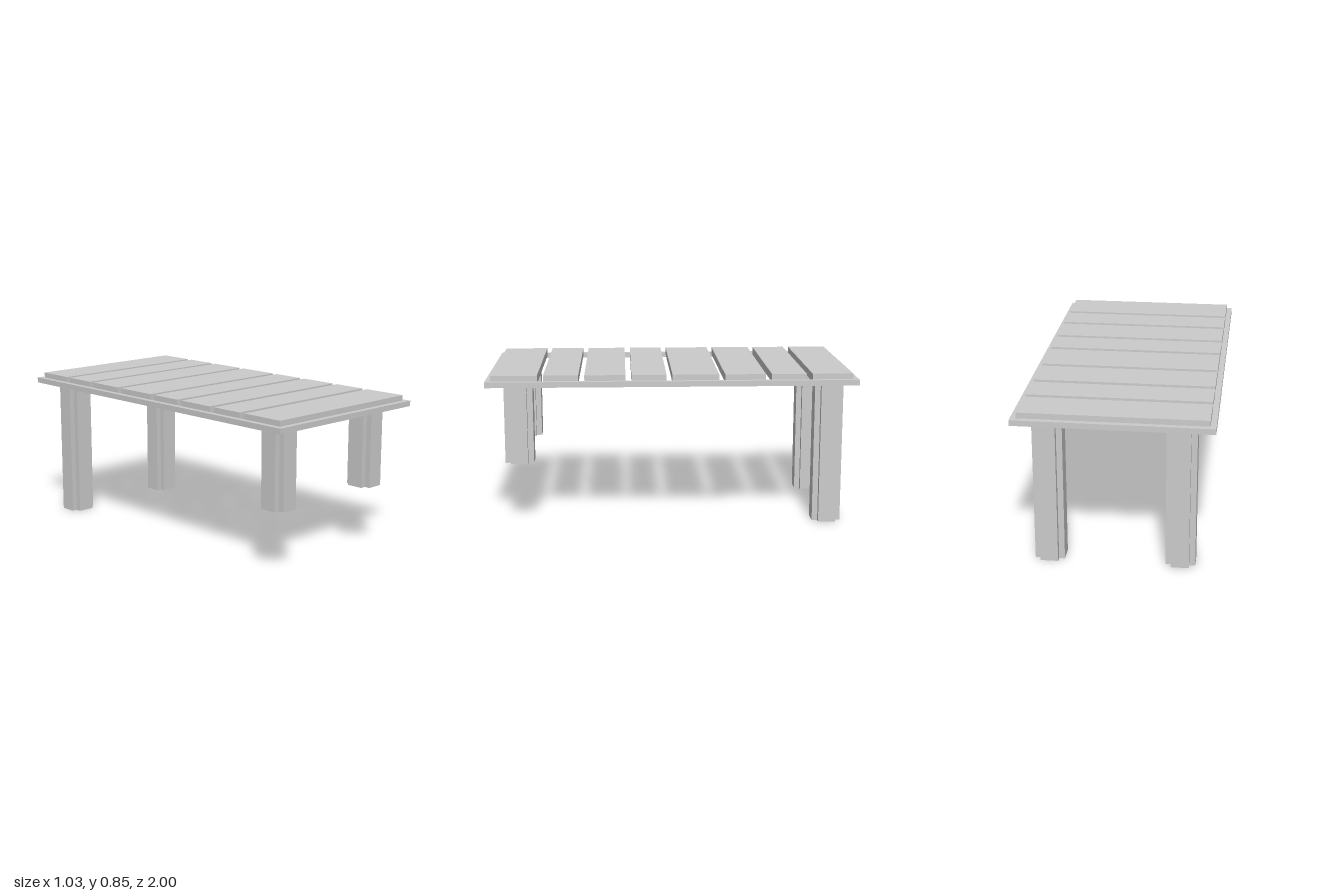
import * as THREE from 'three';

const material = new THREE.MeshStandardMaterial({ color: 0xcccccc, flatShading: true });

function addMesh(parent, geometry, name) {
  const mesh = new THREE.Mesh(geometry, material);
  mesh.name = name;
  parent.add(mesh);
  return mesh;
}

// Closed outline mirrored from corner points, extruded upward from y = 0
function extrudeUp(shape, height) {
  return new THREE.ExtrudeGeometry(shape, { depth: height, bevelEnabled: false }).rotateX(-Math.PI / 2);
}

function rectPoints(w, d) {
  return [[-w, -d], [w, -d], [w, d], [-w, d]].map(([x, y]) => new THREE.Vector2(x, y));
}

// Square post section with a small notch cut from each corner
function notchedSquare(half, notch) {
  const inner = half - notch;
  const points = [];
  for (let i = 0; i < 4; i++) {
    for (const [x, y] of [[half, inner], [inner, inner], [inner, half]]) {
      points.push(new THREE.Vector2(x, y).rotateAround(new THREE.Vector2(), i * Math.PI / 2));
    }
  }
  return new THREE.Shape(points);
}

export function createModel() {
  const table = new THREE.Group();
  table.name = 'slattedTable';

  // Open rectangular frame
  const frameShape = new THREE.Shape(rectPoints(0.515, 1));
  frameShape.holes.push(new THREE.Path(rectPoints(0.485, 0.97).reverse()));
  addMesh(table, extrudeUp(frameShape, 0.03), 'frame').position.y = 0.785;

  // Planks of varied width, laid from front to back with even gaps
  const planks = new THREE.Group();
  planks.name = 'planks';
  table.add(planks);
  const gap = 0.032;
  let z = 0.97;
  for (const width of [0.247, 0.187, 0.219, 0.187, 0.25, 0.219, 0.187, 0.219]) {
    const plank = addMesh(planks, new THREE.BoxGeometry(0.97, 0.045, width), 'plank');
    plank.position.set(0, 0.8225, z - width / 2);
    z -= width + gap;
  }

  // Short front legs and full-length back legs
  const legTop = 0.8;
  const section = notchedSquare(0.078, 0.031);
  for (const [name, legZ, bottom] of [['FrontLeg', 0.833, 0.347], ['BackLeg', -0.858, 0]]) {
    for (const side of [-1, 1]) {
      const leg = addMesh(table, extrudeUp(section, legTop - bottom), (side > 0 ? 'left' : 'right') + name);
      leg.position.set(side * 0.343, bottom, legZ);
    }
  }
  return table;
}
